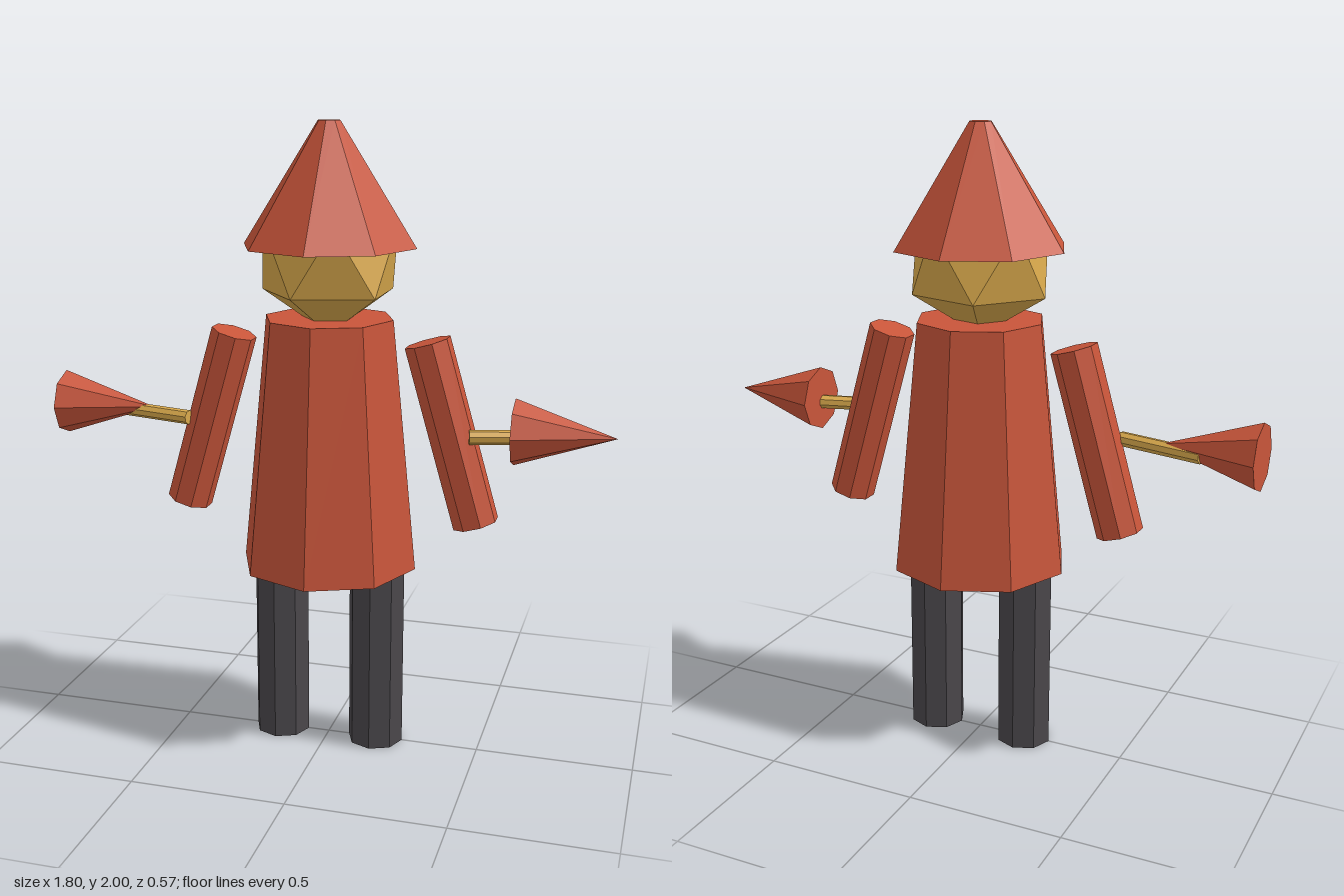
import * as THREE from 'three';
import { ConvexGeometry } from 'three/addons/geometries/ConvexGeometry.js';

const material = (color) => new THREE.MeshStandardMaterial({ color, flatShading: true });

export function createModel() {
  const model = new THREE.Group();
  const red = material(0xc8553a);
  const gold = material(0xd9a94c);
  const dark = material(0x4a474b);

  const add = (name, geometry, mat, x = 0, y = 0, z = 0) => {
    const mesh = new THREE.Mesh(geometry, mat);
    mesh.name = name;
    mesh.position.set(x, y, z);
    model.add(mesh);
    return mesh;
  };

  // Eight-sided rod between two points
  const rod = (name, from, to, radius, mat, twist = 0) => {
    const a = new THREE.Vector3(...from);
    const b = new THREE.Vector3(...to);
    const geometry = new THREE.CylinderGeometry(radius, radius, a.distanceTo(b), 8);
    geometry.rotateY(twist);
    const mid = a.clone().add(b).multiplyScalar(0.5);
    const mesh = add(name, geometry, mat, mid.x, mid.y, mid.z);
    mesh.quaternion.setFromUnitVectors(new THREE.Vector3(0, 1, 0), b.sub(a).normalize());
    return mesh;
  };

  // Flared coat and pointed hat
  add('coat', new THREE.CylinderGeometry(0.205, 0.285, 0.8, 8), red, 0, 1.005);
  add('hat', new THREE.CylinderGeometry(0.035, 0.275, 0.375, 8), red, 0, 1.8125);

  // Faceted head: two poles and two staggered rings of five
  const points = [new THREE.Vector3(0, 0.24, 0), new THREE.Vector3(0, -0.24, 0)];
  for (let i = 0; i < 10; i++) {
    const angle = (i * Math.PI) / 5;
    const y = i % 2 ? -0.107 : 0.107;
    points.push(new THREE.Vector3(0.216 * Math.cos(angle), y, 0.2 * Math.sin(angle)));
  }
  add('head', new ConvexGeometry(points), gold, 0, 1.592);

  for (const [side, s] of [['left', 1], ['right', -1]]) {
    rod(side + 'Leg', [s * 0.16, 0, 0], [s * 0.16, 0.61, 0], 0.09, dark);
    rod(side + 'Arm', [s * 0.476, 0.776, 0], [s * 0.312, 1.343, 0], 0.073, red, Math.PI / 8);
    rod(side + 'Stick', [s * 0.455, 1.065, 0.045], [s * 0.73, 1.065, -0.025], 0.023, gold);

    // Both cones point the same way, towards +x
    const cone = new THREE.ConeGeometry(0.105, 0.31, 8).rotateZ(-Math.PI / 2);
    add(side + 'Cone', cone, red, s > 0 ? 0.742 : -0.748, 1.08);
  }

  return model;
}
